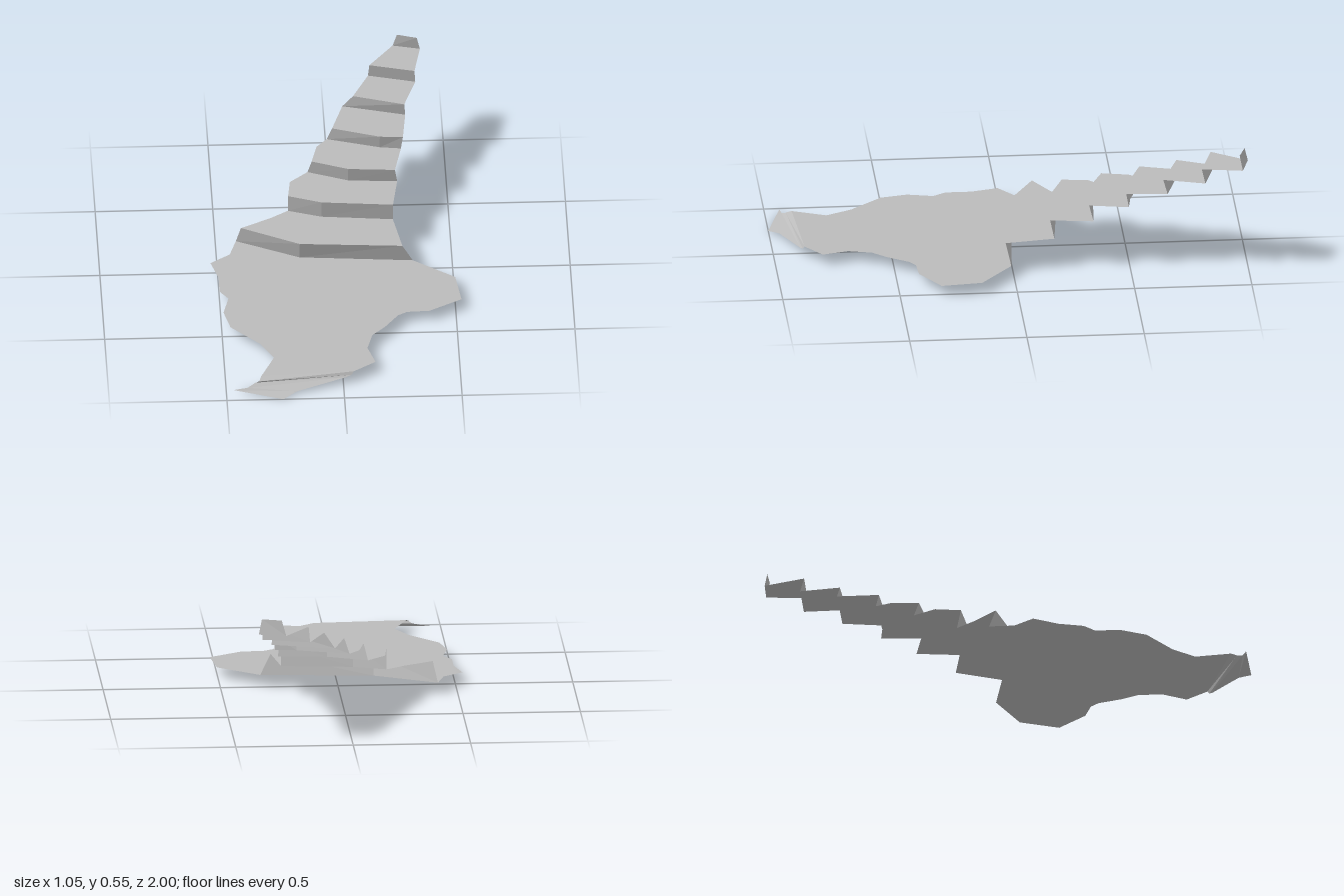
import * as THREE from 'three';

const stone = new THREE.MeshStandardMaterial({ color: 0xbbbbbb, side: THREE.DoubleSide, flatShading: true });
stone.name = 'grey stone';

function mesh(name, points) {
  const g = new THREE.BufferGeometry();
  g.setAttribute('position', new THREE.Float32BufferAttribute(points.flat(), 3));
  g.computeVertexNormals();
  const m = new THREE.Mesh(g, stone);
  m.name = name;
  return m;
}

// Horizontal slab surface from an [x, z] outline, facing up
function slab(name, outline, y) {
  let flat = outline.map(([x, z]) => new THREE.Vector2(x, -z));
  if (THREE.ShapeUtils.isClockWise(flat)) flat = flat.reverse();
  const tris = THREE.ShapeUtils.triangulateShape(flat, []);
  return mesh(name, tris.flat().map(i => [flat[i].x, y, -flat[i].y]));
}

// Ribbon between two [x, y, z] lines, both running left to right in x
function ribbon(name, low, high) {
  const p = [];
  for (let i = 0; i < low.length - 1; i++) {
    p.push(low[i], low[i + 1], high[i + 1], low[i], high[i + 1], high[i]);
  }
  return mesh(name, p);
}

// Risers: foot and nose lines in [x, z]; side = extra left-edge points of the tread in front
const steps = [
  { y: [0.05, 0.137], foot: [[-0.415, -0.168], [-0.15, -0.03], [0.33, 0.012]], nose: [[-0.395, -0.135], [-0.15, 0], [0.285, 0.032]] },
  { y: [0.137, 0.222], foot: [[-0.19, -0.262], [-0.05, -0.21], [0.253, -0.178]], nose: [[-0.19, -0.245], [-0.05, -0.19], [0.253, -0.16]], side: [[-0.27, -0.205]] },
  { y: [0.222, 0.291], foot: [[-0.1, -0.43], [0.07, -0.358], [0.278, -0.343]], nose: [[-0.083, -0.405], [0.07, -0.34], [0.268, -0.325]], side: [[-0.178, -0.355]] },
  { y: [0.291, 0.356], foot: [[-0.012, -0.578], [0.21, -0.505], [0.3, -0.492]], nose: [[0.01, -0.56], [0.21, -0.487], [0.308, -0.48]], side: [[-0.058, -0.52]] },
  { y: [0.356, 0.42], foot: [[0.06, -0.732], [0.325, -0.655]], nose: [[0.105, -0.71], [0.32, -0.637]] },
  { y: [0.42, 0.484], foot: [[0.175, -0.868], [0.374, -0.812]], nose: [[0.18, -0.85], [0.37, -0.797]] },
  { y: [0.484, 0.548], foot: [[0.285, -1], [0.4, -0.97]], nose: [[0.303, -0.985], [0.386, -0.957]] },
];

export function createModel() {
  const group = new THREE.Group();
  group.name = 'steppedTerrain';

  // Wide ground with an irregular edge
  const rightEdge = [[0.505, 0.15], [0.525, 0.325], [0.385, 0.41], [0.29, 0.415], [0.25, 0.44],
    [0.19, 0.53], [0.135, 0.59], [0.11, 0.69], [0.14, 0.8], [0.045, 0.87]];
  const leftEdge = [[-0.35, 0.893], [-0.29, 0.75], [-0.345, 0.64], [-0.465, 0.505], [-0.49, 0.39],
    [-0.465, 0.28], [-0.5, 0.225], [-0.5, 0.115], [-0.53, 0], [-0.445, -0.065]];
  group.add(slab('ground', [...steps[0].foot, ...rightEdge, ...leftEdge], 0.05));

  // Folded lip falling away at the front
  const lip = [
    [[-0.35, 0.05, 0.893], [0.045, 0.05, 0.87]],
    [[-0.36, 0.04, 0.918], [0.035, 0.037, 0.877]],
    [[-0.375, 0.03, 0.912], [0.01, 0.03, 0.885]],
    [[-0.41, 0.018, 0.932], [-0.2, 0.011, 0.957]],
    [[-0.47, 0.01, 0.935], [-0.26, 0, 1]],
  ];
  for (let i = 0; i < lip.length - 1; i++) group.add(ribbon('frontLip' + (i + 1), lip[i + 1], lip[i]));

  // Rising flight of leaning risers and flat treads
  steps.forEach((s, i) => {
    const at = (line, y) => line.map(([x, z]) => [x, y, z]);
    group.add(ribbon('riser' + (i + 1), at(s.foot, s.y[0]), at(s.nose, s.y[1])));
    const next = steps[i + 1];
    if (next) {
      const outline = [...s.nose, ...[...next.foot].reverse(), ...(next.side || [])];
      group.add(slab('tread' + (i + 1), outline, s.y[1]));
    }
  });
  return group;
}
